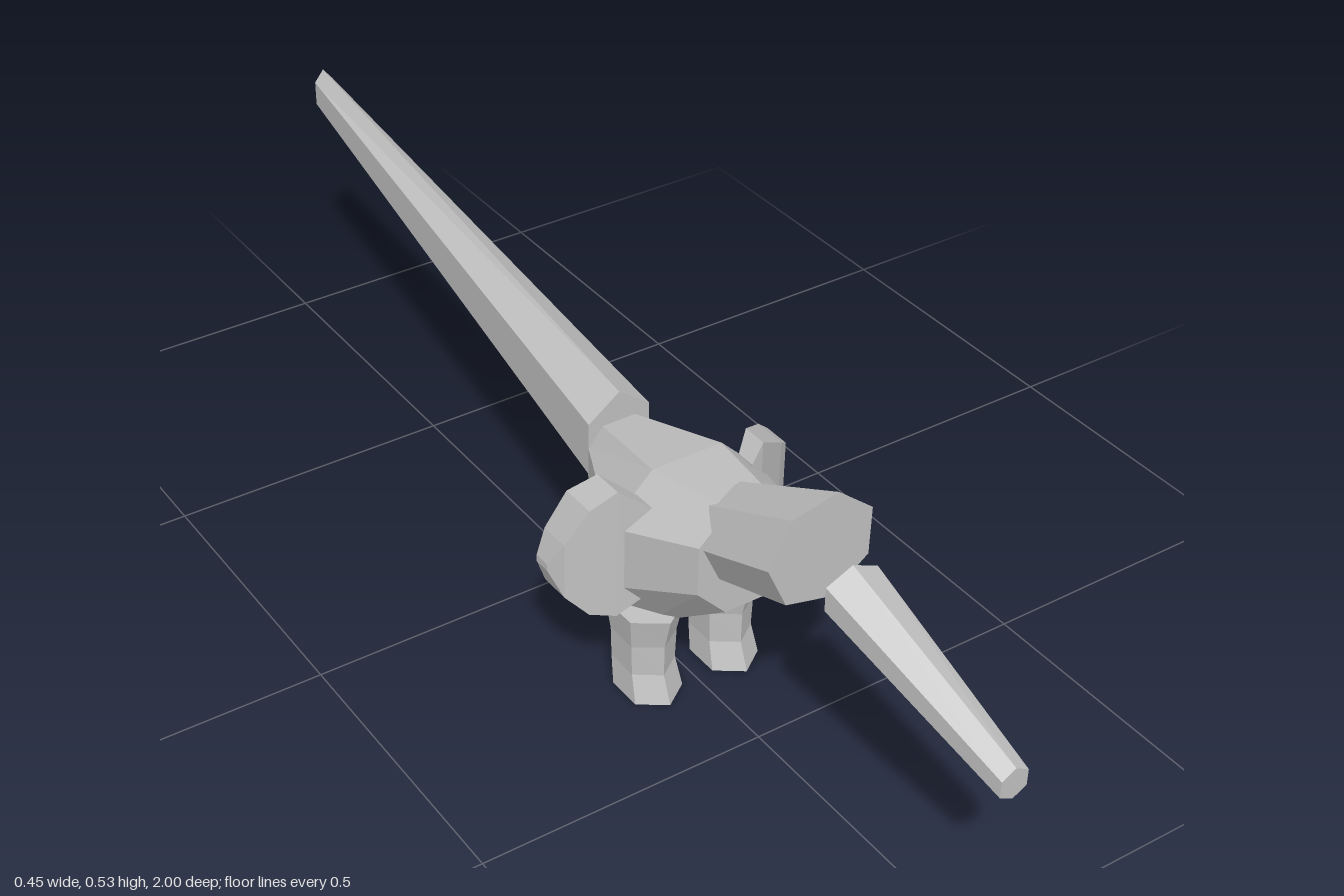
import * as THREE from 'three';

const grey = new THREE.MeshStandardMaterial({ color: 0xc0c0c0 });
grey.name = 'plain grey';
grey.flatShading = true;

// Closed solid through rings of equal point count, capped at both ends
function loft(name, rings) {
  const n = rings[0].length, tris = [];
  for (let i = 0; i < rings.length - 1; i++) {
    for (let j = 0; j < n; j++) {
      const k = (j + 1) % n;
      const a = rings[i][j], b = rings[i][k], c = rings[i + 1][k], d = rings[i + 1][j];
      tris.push([a, b, c], [a, c, d]);
    }
  }
  const first = rings[0], last = rings[rings.length - 1];
  for (let j = 1; j < n - 1; j++) {
    tris.push([first[0], first[j + 1], first[j]], [last[0], last[j], last[j + 1]]);
  }
  // Turn the faces outward if the rings run the other way round
  let volume = 0;
  for (const [a, b, c] of tris) volume += a.dot(b.clone().cross(c));
  if (volume < 0) tris.forEach(t => t.reverse());
  const g = new THREE.BufferGeometry().setFromPoints(tris.flat());
  g.computeVertexNormals();
  const mesh = new THREE.Mesh(g, grey);
  mesh.name = name;
  return mesh;
}

const V = (x, y, z) => new THREE.Vector3(x, y, z);

// Upright eight-sided ring: half widths of flats and sides, heights bottom to top
function octagon(z, flat, side, [y0, y1, y2, y3]) {
  return [[flat, y0], [side, y1], [side, y2], [flat, y3],
    [-flat, y3], [-side, y2], [-side, y1], [-flat, y0]].map(([x, y]) => V(x, y, z));
}

// Upright hexagon with a point at the top and bottom
function hexagon(z, cx, w, [y0, y1, y2, y3]) {
  return [[0, y0], [w, y1], [w, y2], [0, y3], [-w, y2], [-w, y1]]
    .map(([x, y]) => V(cx + x, y, z));
}

// Upright seven-sided ring
function heptagon(z, cx, cy, r) {
  return Array.from({ length: 7 }, (_, i) => {
    const a = (25 + i * 360 / 7) * Math.PI / 180;
    return V(cx + r * Math.cos(a), cy + r * Math.sin(a), z);
  });
}

// Level hexagon with points to the front and back
function legRing(y, cx, w, cz, r) {
  return [[0, r], [w, r / 2], [w, -r / 2], [0, -r], [-w, -r / 2], [-w, r / 2]]
    .map(([x, z]) => V(cx + x, y, cz + z));
}

// Side flap from columns of [x, bottom, top, back z, front z]
function flap(name, side, columns) {
  return loft(name, columns.map(([x, y0, y1, z0, z1]) => [
    V(side * x, y0, z1), V(side * x, y1, z1), V(side * x, y1, z0), V(side * x, y0, z0)]));
}

export function createModel() {
  const model = new THREE.Group();
  model.name = 'creature';

  // Faceted body, widest above the legs
  model.add(loft('body', [
    octagon(0.45, 0.037, 0.09, [0.232, 0.288, 0.375, 0.425]),
    octagon(0.29, 0.064, 0.142, [0.115, 0.22, 0.333, 0.41]),
    octagon(0.10, 0.03, 0.055, [0.24, 0.28, 0.335, 0.367]),
  ]));

  // Head leaning up and forward from the body
  model.add(loft('head', [
    heptagon(0.612, 0.0075, 0.438, 0.096),
    heptagon(0.40, 0, 0.345, 0.08),
  ]));

  // Tapered snout, standing free in front of the head
  model.add(loft('snout', [
    hexagon(0.68, 0.007, 0.046, [0.375, 0.394, 0.435, 0.456]),
    hexagon(1.0, 0.047, 0.024, [0.246, 0.259, 0.288, 0.302]),
  ]));

  // Long tapered tail
  model.add(loft('tail', [
    hexagon(0.105, 0, 0.057, [0.243, 0.285, 0.38, 0.422]),
    hexagon(-1.0, 0.073, 0.018, [0.40, 0.423, 0.468, 0.49]),
  ]));

  // Two slightly different side flaps
  model.add(flap('leftFlap', 1, [
    [0.09, 0.19, 0.385, 0.30, 0.335],
    [0.113, 0.175, 0.415, 0.285, 0.33],
    [0.176, 0.2, 0.37, 0.235, 0.295],
    [0.205, 0.222, 0.343, 0.222, 0.27],
    [0.225, 0.25, 0.297, 0.22, 0.24],
  ]));
  model.add(flap('rightFlap', -1, [
    [0.09, 0.22, 0.375, 0.30, 0.335],
    [0.143, 0.179, 0.415, 0.26, 0.315],
    [0.18, 0.184, 0.382, 0.232, 0.295],
    [0.212, 0.218, 0.318, 0.22, 0.275],
    [0.227, 0.26, 0.272, 0.22, 0.25],
  ]));

  // Pair of stout legs
  for (const [name, cx] of [['leftLeg', 0.076], ['rightLeg', -0.073]]) {
    model.add(loft(name, [
      legRing(0.163, cx, 0.051, 0.29, 0.07),
      legRing(0.105, cx, 0.043, 0.288, 0.058),
      legRing(0.048, cx, 0.041, 0.288, 0.058),
      legRing(0, cx, 0.045, 0.302, 0.063),
    ]));
  }
  return model;
}
